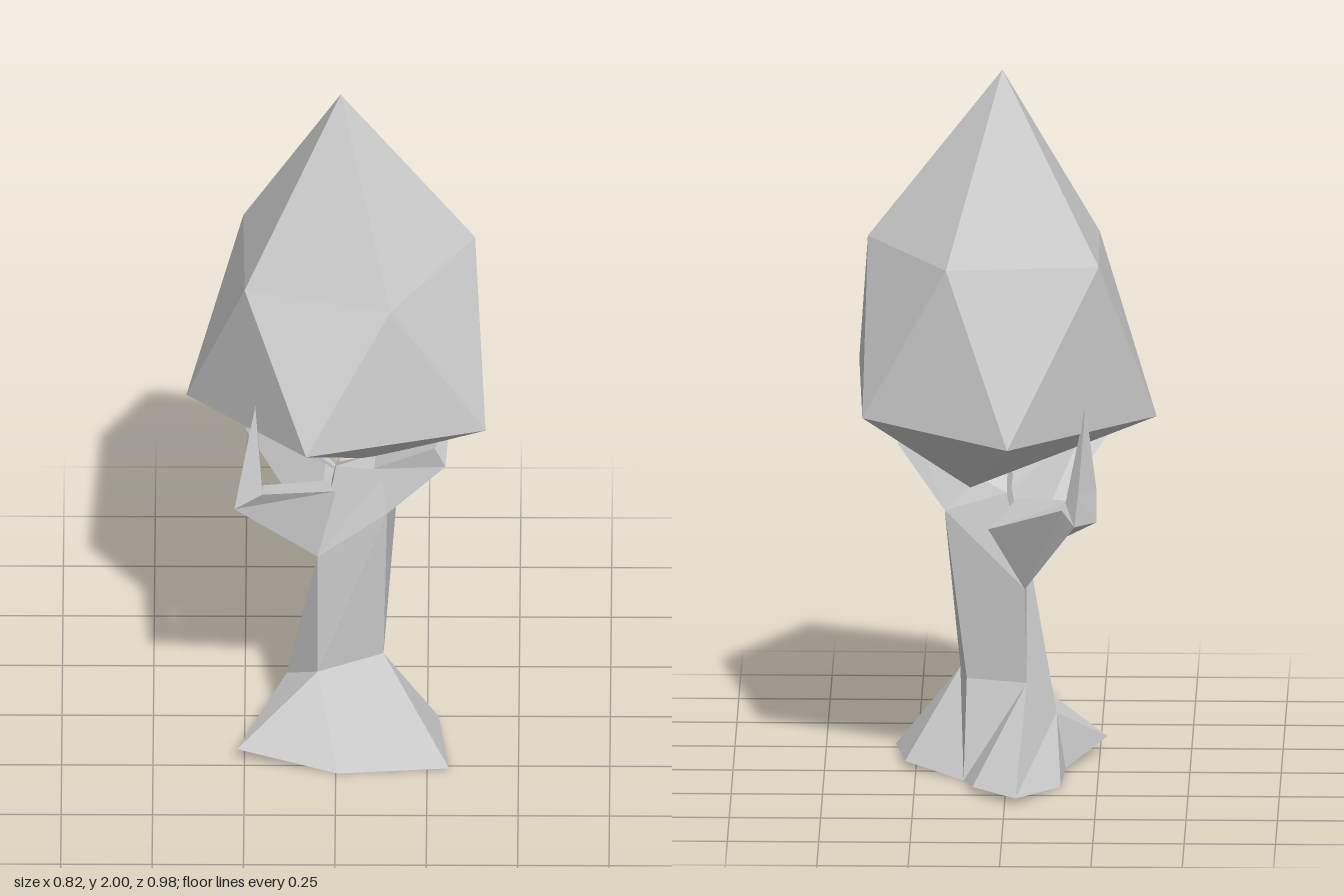
import * as THREE from 'three';

const grey = new THREE.MeshStandardMaterial({ color: 0xcccccc });
grey.name = 'pale grey';

// Joins rings of equal point count into a closed, faceted skin.
// Repeated points make a ring narrow to fewer corners or to a tip.
function loft(name, rings) {
  const tris = [];
  const n = rings[0].length;
  for (let r = 0; r < rings.length - 1; r++) {
    for (let i = 0; i < n; i++) {
      const j = (i + 1) % n;
      const [a, b, c, d] = [rings[r][i], rings[r][j], rings[r + 1][j], rings[r + 1][i]];
      tris.push([a, b, c], [a, c, d]);
    }
  }
  const first = rings[0], last = rings[rings.length - 1];
  for (let i = 1; i < n - 1; i++) {
    tris.push([first[0], first[i + 1], first[i]], [last[0], last[i], last[i + 1]]);
  }

  // Drop empty triangles and make all faces point outwards
  const position = [];
  let volume = 0;
  const solid = tris
    .map((t) => t.map((p) => new THREE.Vector3(...p)))
    .filter((t) => new THREE.Triangle(...t).getArea() > 1e-6);
  for (const [a, b, c] of solid) volume += a.dot(b.clone().cross(c));
  for (const [a, b, c] of solid) {
    for (const p of volume > 0 ? [a, b, c] : [a, c, b]) position.push(p.x, p.y, p.z);
  }

  const geometry = new THREE.BufferGeometry();
  geometry.setAttribute('position', new THREE.Float32BufferAttribute(position, 3));
  geometry.computeVertexNormals();
  const mesh = new THREE.Mesh(geometry, grey);
  mesh.name = name;
  return mesh;
}

const tip = (p, n) => Array(n).fill(p);

export function createModel() {
  const tree = new THREE.Group();
  tree.name = 'tree';

  // Crown: stretched, irregular twenty-sided gem
  tree.add(loft('crown', [
    tip([0.1, 0.815, -0.04], 5),
    [[-0.08, 1.16, 0.49], [0.41, 1.1, 0.26], [0.39, 1.08, -0.3], [-0.01, 1.04, -0.49], [-0.41, 1.02, -0.04]],
    [[-0.25, 1.49, 0.16], [0.15, 1.53, 0.33], [0.38, 1.53, -0.05], [0.16, 1.52, -0.38], [-0.255, 1.49, -0.22]],
    tip([0.012, 2, -0.04], 5),
  ]));

  // Trunk: front left, front right, back right, back left and a low left corner
  const fl = [-0.05, 0.235, 0.14], fr = [0.13, 0.27, 0.1];
  const br = [0.11, 0.27, -0.02], bl = [-0.055, 0.27, -0.07], left = [-0.135, 0.16, 0.03];
  const forkLeft = [-0.05, 0.61, 0.14], forkFront = [0.14, 0.75, 0.14], forkBack = [0.17, 0.75, -0.04];
  tree.add(loft('trunk', [
    [fl, fr, br, bl, left],
    [forkLeft, forkFront, forkBack, [-0.05, 0.54, -0.085], forkLeft],
    [[0, 0.88, 0.1], [0.14, 0.87, 0.11], [0.12, 0.86, 0], [0, 0.8, -0.04], [0, 0.88, 0.1]],
  ]));

  // Roots: ragged foot drawn in to the trunk corners
  const frontToe = [-0.27, 0.04, 0.23], notch = [0.117, 0, -0.097];
  tree.add(loft('roots', [
    [
      [0.005, 0, 0.29], [0.31, 0.005, 0.27], [0.28, 0.02, 0.03], notch, notch, [0.09, 0.02, -0.24],
      [-0.03, 0.02, -0.358], [-0.15, 0, -0.16], [-0.16, 0.01, 0], frontToe, frontToe,
    ],
    [fl, fr, fr, fr, br, bl, bl, left, left, left, fl],
  ]));

  // Branches: each bends at an elbow and narrows upwards
  tree.add(loft('frontBranch', [
    [forkLeft, [-0.05, 0.6, 0], [0, 0.79, 0.03], [0, 0.81, 0.12]],
    [[-0.277, 0.89, 0.335], [-0.265, 0.89, 0.225], [-0.2, 0.9, 0.23], [-0.2, 0.915, 0.3]],
    tip([-0.22, 1.18, 0.265], 4),
  ]));
  tree.add(loft('backBranch', [
    [[-0.05, 0.6, 0.04], [-0.05, 0.54, -0.088], [0.05, 0.71, -0.09], [-0.03, 0.79, -0.05]],
    [[-0.25, 0.775, -0.25], [-0.19, 0.775, -0.305], [-0.155, 0.81, -0.26], [-0.19, 0.825, -0.215]],
    [[-0.25, 0.86, -0.24], [-0.2, 0.86, -0.295], [-0.165, 0.83, -0.255], [-0.2, 0.845, -0.21]],
    tip([-0.22, 1.11, -0.265], 4),
  ]));
  tree.add(loft('sideBranch', [
    [forkFront, forkBack, [0.08, 0.84, -0.03], [0.1, 0.87, 0.1]],
    [[0.3, 0.91, 0.15], [0.3, 0.91, 0.06], [0.26, 0.97, 0.07], [0.27, 0.97, 0.15]],
    tip([0.31, 1.01, 0.08], 4),
  ]));

  return tree;
}
